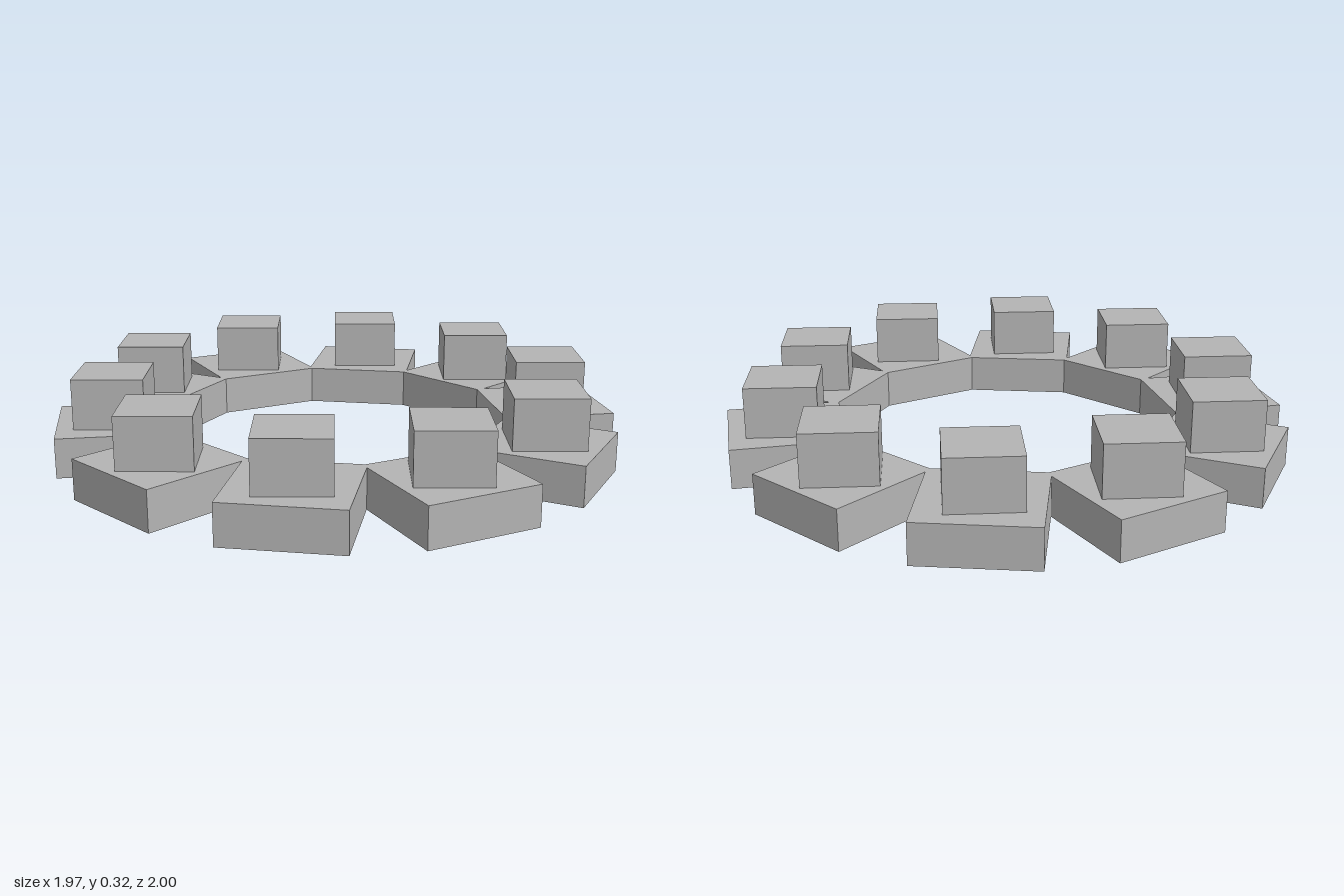
import * as THREE from 'three';

const COUNT = 10;        // blocks around the ring
const RADIUS = 0.786;    // ring centre line
const BASE_H = 0.14;
const TOTAL_H = 0.318;
const CUBE = 0.247;

export function createModel() {
  const model = new THREE.Group();
  model.name = 'blockRing';
  const stone = new THREE.MeshStandardMaterial({ color: 0xb4b4b4 });
  stone.name = 'grey stone';

  const baseGeometry = new THREE.BoxGeometry(0.4, BASE_H, 0.4);
  const cubeGeometry = new THREE.BoxGeometry(CUBE, TOTAL_H - BASE_H, CUBE);

  for (let i = 0; i < COUNT; i++) {
    const angle = (i / COUNT) * Math.PI * 2;
    const x = Math.cos(angle) * RADIUS;
    const z = Math.sin(angle) * RADIUS;

    // Square base block facing the ring centre
    const base = new THREE.Mesh(baseGeometry, stone);
    base.name = `baseBlock${i + 1}`;
    base.position.set(x, BASE_H / 2, z);
    base.rotation.y = -angle;

    // Raised block, always turned 45 degrees to the model axes
    const cube = new THREE.Mesh(cubeGeometry, stone);
    cube.name = `raisedBlock${i + 1}`;
    cube.position.set(x, (BASE_H + TOTAL_H) / 2, z);
    cube.rotation.y = Math.PI / 4;

    model.add(base, cube);
  }
  return model;
}
